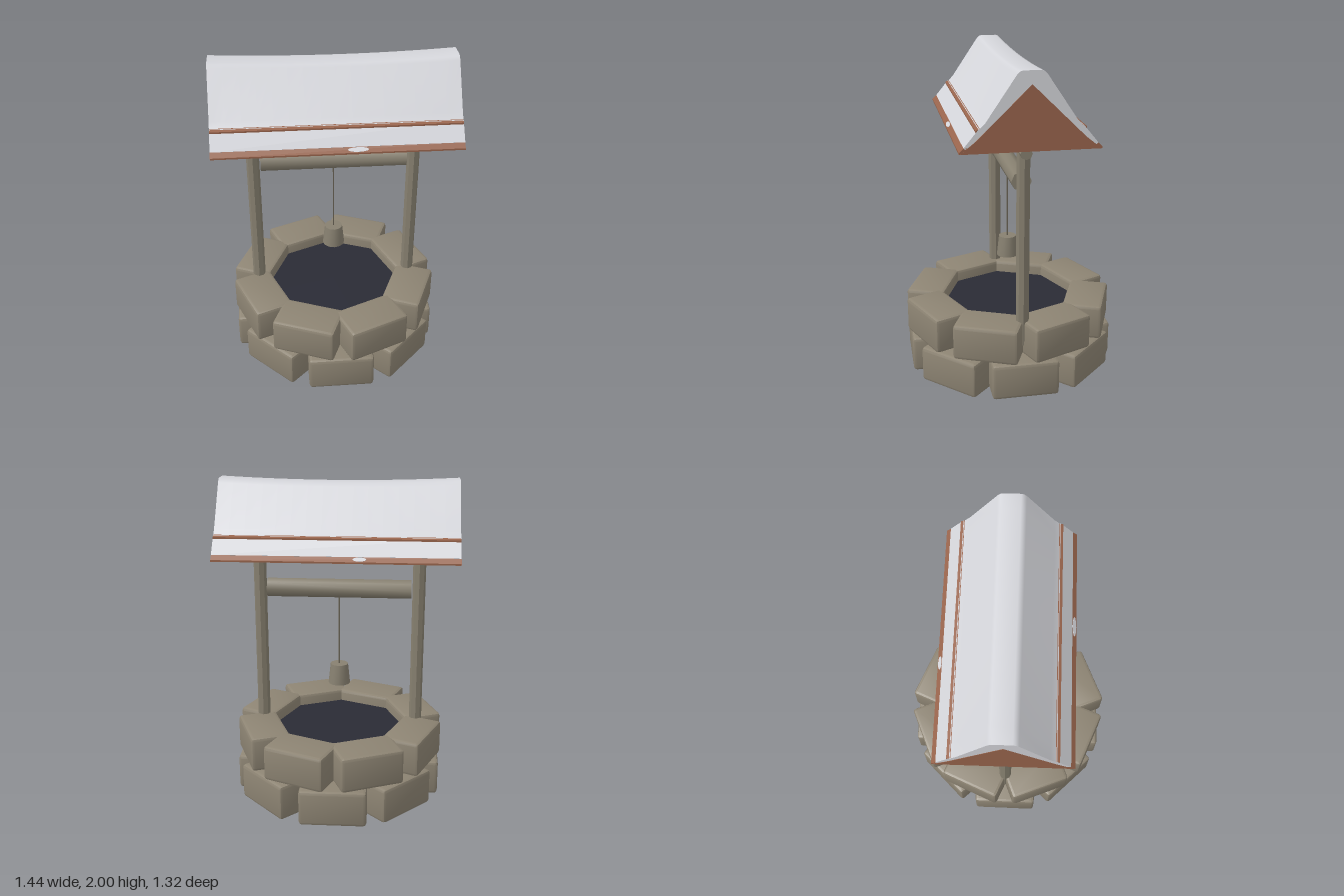
import * as THREE from 'three';
import { toCreasedNormals } from 'three/addons/utils/BufferGeometryUtils.js';
import { RoundedBoxGeometry } from 'three/addons/geometries/RoundedBoxGeometry.js';

export function createModel() {
  const material = (name, color) => {
    const m = new THREE.MeshStandardMaterial({ color });
    m.name = name;
    return m;
  };
  const stone = material('stone', 0x8d8473);
  const wood = material('wood', 0x878070);
  const rope = material('rope', 0x6a6456);
  const snow = material('snow', 0xd4d5da);
  const tile = material('roofTile', 0x98644c);
  const water = material('water', 0x2a2b35);
  water.side = THREE.DoubleSide;

  const model = new THREE.Group();
  model.name = 'well';
  const add = (name, geometry, mat, x = 0, y = 0, z = 0, parent = model) => {
    const mesh = new THREE.Mesh(geometry, mat);
    mesh.name = name;
    mesh.position.set(x, y, z);
    parent.add(mesh);
    return mesh;
  };

  // Two courses of eight bevelled stones, staggered by half a stone
  const courses = [
    { y: 0.115, outer: 0.645, width: 0.41, offset: 0 },
    { y: 0.345, outer: 0.637, width: 0.4, offset: Math.PI / 8 },
  ];
  const depth = 0.25;
  courses.forEach(({ y, outer, width, offset }, row) => {
    const ring = new THREE.Group();
    ring.name = row ? 'upperStoneRing' : 'lowerStoneRing';
    model.add(ring);
    const block = toCreasedNormals(new RoundedBoxGeometry(width, row ? 0.222 : 0.226, depth, 1, 0.02), 0.4);
    for (let i = 0; i < 8; i++) {
      const a = offset + (i * Math.PI) / 4;
      const r = outer - depth / 2 + 0.004 * Math.sin(i * 2.3 + row);
      const s = add('stoneBlock', block, stone, Math.sin(a) * r, y, Math.cos(a) * r, ring);
      s.rotation.y = a + 0.012 * Math.sin(i * 1.7 + row * 2);
    }
  });

  // Water surface inside the upper course
  const pool = new THREE.CircleGeometry(0.47, 24);
  pool.rotateX(-Math.PI / 2);
  add('waterSurface', pool, water, 0, 0.38, 0);

  // Posts, cross beam and winding log
  const rod = (r, length, sides, crease = 0.4) =>
    toCreasedNormals(new THREE.CylinderGeometry(r, r, length, sides), crease);
  for (const side of [-1, 1]) {
    add(side > 0 ? 'leftPost' : 'rightPost', rod(0.04, 1.22, 8), wood, side * 0.497, 0.91, 0);
  }
  add('crossBeam', rod(0.035, 1.17, 8), wood, 0, 1.515, 0).rotation.z = Math.PI / 2;
  add('windingLog', rod(0.06, 0.9, 8, 0.9), wood, 0, 1.315, 0).rotation.z = Math.PI / 2;

  // Rope and bucket
  add('rope', rod(0.005, 0.48, 6, 1.2), rope, 0, 1.04, 0);
  add('bucket', toCreasedNormals(new THREE.CylinderGeometry(0.056, 0.07, 0.13, 12), 0.6), wood, 0, 0.75, 0);

  // Prism along x from half a profile of [z, y] points, mirrored in z
  const prism = (half, halfLength, sag = 0) => {
    const mirrored = half.filter(([z]) => z > 0).map(([z, y]) => [-z, y]).reverse();
    const shape = new THREE.Shape([...half, ...mirrored].map(([z, y]) => new THREE.Vector2(z, y)));
    const g = new THREE.ExtrudeGeometry(shape, { depth: halfLength * 2, steps: sag ? 16 : 1, bevelEnabled: false });
    g.translate(0, 0, -halfLength);
    g.rotateY(Math.PI / 2);
    const p = g.attributes.position;
    for (let i = 0; i < p.count; i++) {
      const t = p.getX(i) / halfLength;
      const rise = THREE.MathUtils.clamp((p.getY(i) - 1.7) / 0.3, 0, 1);
      p.setY(i, p.getY(i) - sag * rise * (1 - t * t));
    }
    return toCreasedNormals(g, 0.55);
  };

  // Snow-covered roof: tile edges show under each snow layer and on the gables
  const roof = new THREE.Group();
  roof.name = 'roof';
  model.add(roof);
  const part = (name, geometry, mat) => add(name, geometry, mat, 0, 0, 0, roof);
  part('upperSnow', prism(
    [[0.05, 2], [0.066, 1.995], [0.082, 1.978], [0.25, 1.73], [0.28, 1.699]], 0.72, 0.02), snow);
  part('tileLedge', prism([[0.27, 1.704], [0.302, 1.691], [0.302, 1.681], [0.28, 1.678]], 0.719), tile);
  part('lowerSnow', prism([[0.285, 1.699], [0.367, 1.6], [0.36, 1.59]], 0.72), snow);
  part('tileEaves', prism([[0.366, 1.6], [0.392, 1.575], [0.392, 1.565]], 0.72), tile);
  part('tileGables', prism([[0, 1.927], [0.3, 1.635], [0.385, 1.567]], 0.722), tile);

  // Small snow patches on the eaves and the underside
  const disc = new THREE.CylinderGeometry(1, 1, 0.004, 12);
  const patch = (x, y, z, rx, rz, tilt) => {
    const m = add('snowPatch', disc, snow, x, y, z, roof);
    m.scale.set(rx, 1, rz);
    m.rotation.x = tilt;
  };
  patch(0.11, 1.588, 0.379, 0.06, 0.014, 0.76);
  patch(-0.14, 1.588, -0.379, 0.04, 0.014, -0.76);
  patch(0.295, 1.565, -0.295, 0.03, 0.03, 0);
  patch(-0.6, 1.565, -0.14, 0.055, 0.045, 0);

  return model;
}
